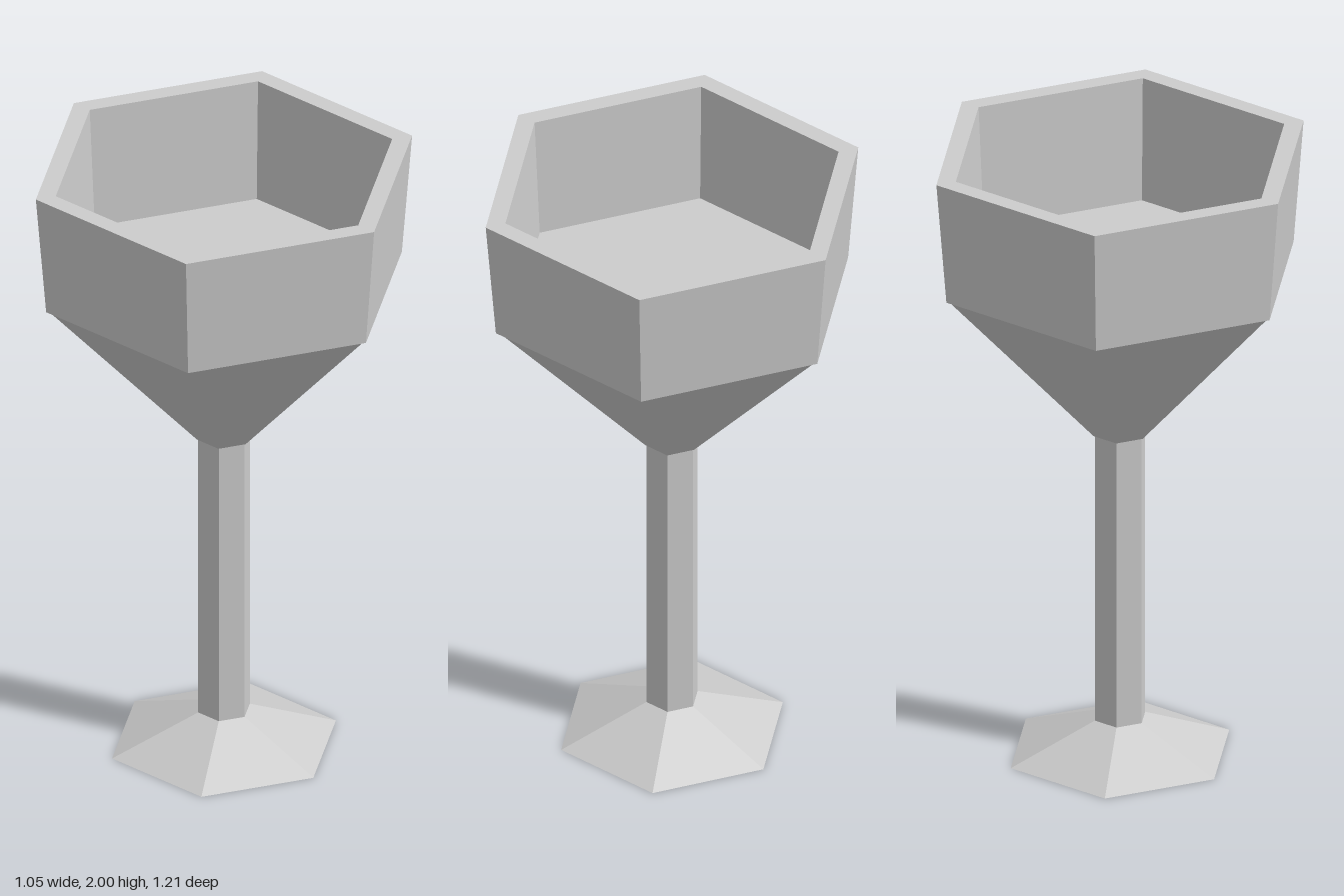
import * as THREE from 'three';

const SIDES = 6;

// Hexagonal surface of revolution; profile points are [radius, height], listed bottom to top on the outside
function hexPart(name, profile, material) {
  const points = profile.map(([r, y]) => new THREE.Vector2(r, y));
  const geometry = new THREE.LatheGeometry(points, SIDES).toNonIndexed();
  geometry.computeVertexNormals();
  const mesh = new THREE.Mesh(geometry, material);
  mesh.name = name;
  return mesh;
}

export function createModel() {
  const group = new THREE.Group();
  group.name = 'goblet';

  const metal = new THREE.MeshStandardMaterial({ color: 0xcccccc });
  metal.name = 'pale grey';
  metal.flatShading = true;

  group.add(
    // Shallow sloping foot with a flat underside
    hexPart('foot', [[0, 0], [0.36, 0], [0.083, 0.11]], metal),
    // Slim straight stem
    hexPart('stem', [[0.083, 0.11], [0.083, 1.065]], metal),
    // Tapered lower bowl, a touch narrower than the cup above it
    hexPart('lowerBowl', [[0, 1.065], [0.087, 1.065], [0.563, 1.6]], metal),
    // Cup: underside ledge, outer wall, flat rim, inner wall and floor
    hexPart('cup', [[0.55, 1.6], [0.572, 1.6], [0.605, 2], [0.541, 2], [0.521, 1.6], [0, 1.6]], metal),
  );

  return group;
}
